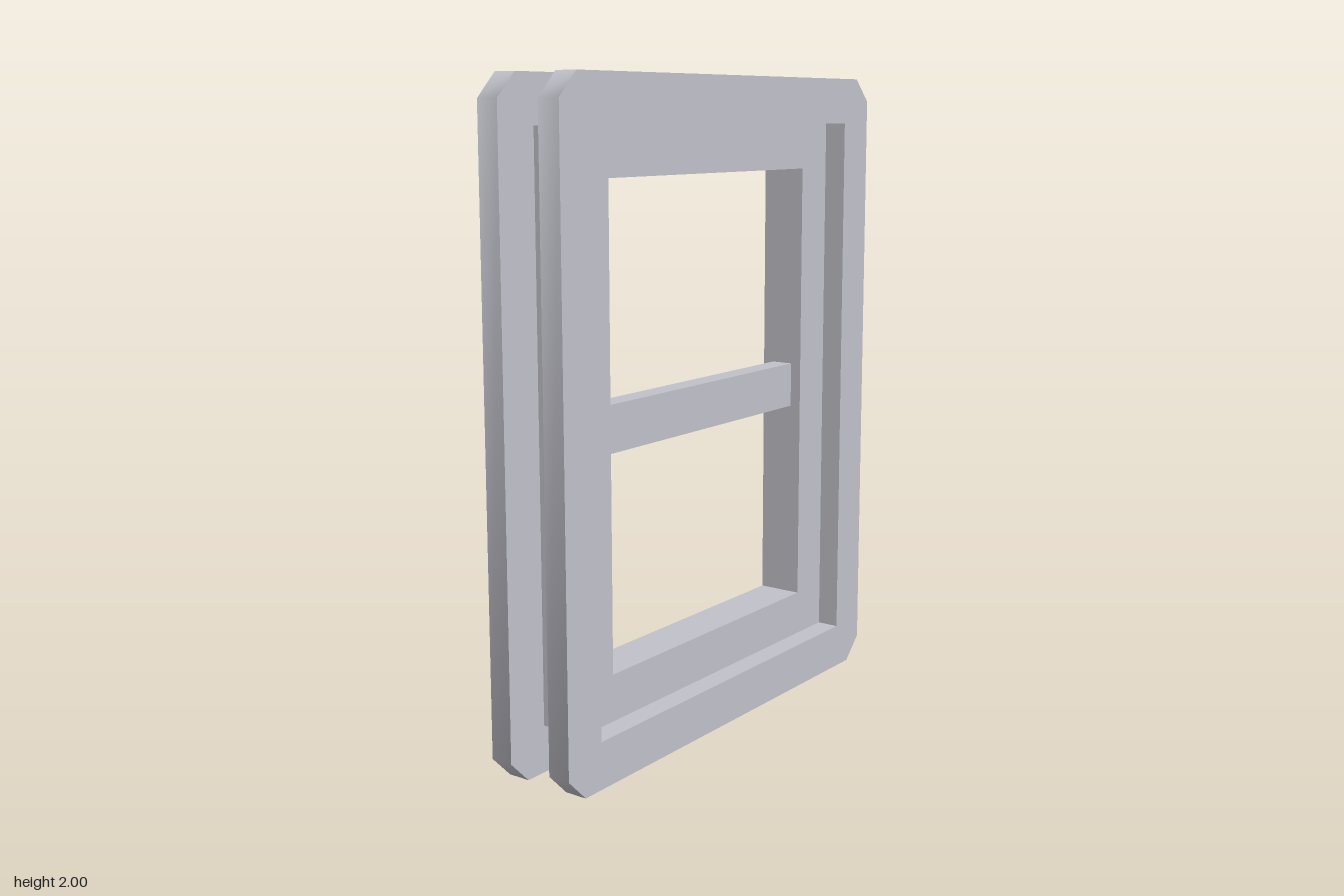
import * as THREE from 'three';
import { toCreasedNormals } from 'three/addons/utils/BufferGeometryUtils.js';

// Rectangle outline centred on z = 0, with optional clipped corners
function outline(Type, halfWidth, bottom, top, cut = 0) {
  const w = halfWidth, c = cut;
  const corners = c > 0
    ? [[-w + c, bottom], [w - c, bottom], [w, bottom + c], [w, top - c],
       [w - c, top], [-w + c, top], [-w, top - c], [-w, bottom + c]]
    : [[-w, bottom], [w, bottom], [w, top], [-w, top]];
  return new Type(corners.map(([x, y]) => new THREE.Vector2(x, y)));
}

// Extrude a frame with an opening along x, centred on x = 0
function frameGeometry(outer, opening, depth) {
  outer.holes.push(opening);
  const geometry = new THREE.ExtrudeGeometry(outer, { depth, bevelEnabled: false });
  geometry.translate(0, 0, -depth / 2);
  geometry.rotateY(Math.PI / 2);
  return geometry;
}

export function createModel() {
  const group = new THREE.Group();
  group.name = 'windowFrame';
  const paint = new THREE.MeshStandardMaterial({ color: 0xc1c1ca });
  paint.name = 'paleGrey';

  const add = (name, geometry, x = 0, y = 0) => {
    const mesh = new THREE.Mesh(geometry, paint);
    mesh.name = name;
    mesh.position.set(x, y, 0);
    group.add(mesh);
  };

  // Inner frame that sits in the wall
  add('innerFrame', frameGeometry(
    outline(THREE.Shape, 0.643, 0.143, 1.857),
    outline(THREE.Path, 0.5, 0.286, 1.714), 0.143));

  // Trim on both faces, its rim shaded smoothly round the clipped corners
  const trim = toCreasedNormals(frameGeometry(
    outline(THREE.Shape, 0.786, 0, 2, 0.0714),
    outline(THREE.Path, 0.643, 0.143, 1.857), 0.0714), Math.PI / 3);
  add('leftTrim', trim, 0.107);
  add('rightTrim', trim, -0.107);

  // Crossbar, half as deep as the inner frame
  add('crossbar', new THREE.BoxGeometry(0.0714, 0.143, 1), 0, 1);

  return group;
}
